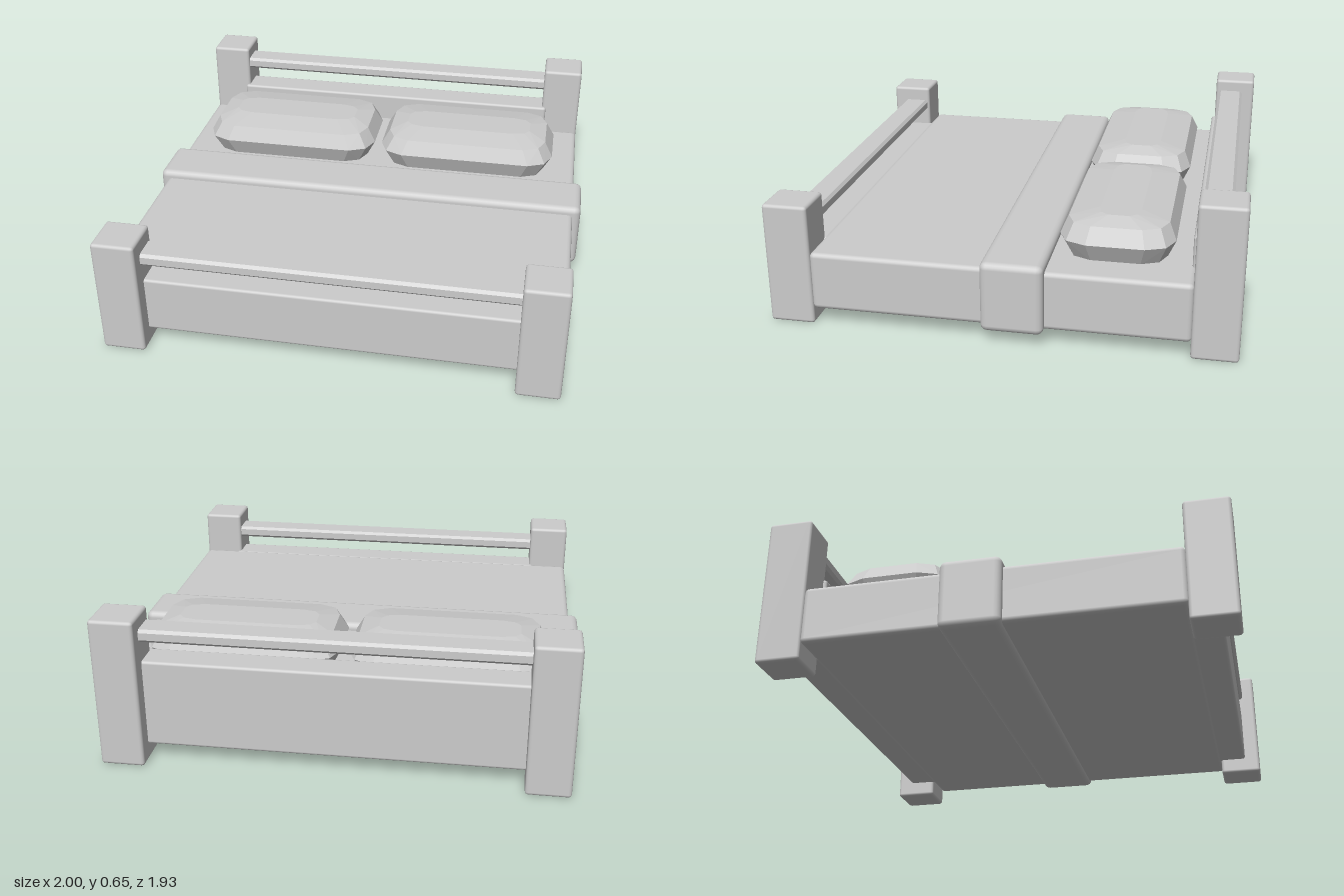
import * as THREE from 'three';
import { RoundedBoxGeometry } from 'three/addons/geometries/RoundedBoxGeometry.js';
import { ConvexGeometry } from 'three/addons/geometries/ConvexGeometry.js';

const material = new THREE.MeshStandardMaterial({ color: 0xcccccc });
const flatMaterial = new THREE.MeshStandardMaterial({ color: 0xcccccc, flatShading: true });

// Softly bevelled box given by its min and max corners
function block(name, min, max, radius) {
  const a = new THREE.Vector3(...min), b = new THREE.Vector3(...max);
  const size = b.clone().sub(a);
  const mesh = new THREE.Mesh(new RoundedBoxGeometry(size.x, size.y, size.z, 2, radius), material);
  mesh.name = name;
  mesh.position.copy(a.add(b).multiplyScalar(0.5));
  return mesh;
}

// Bar along x with a chamfered eight-sided section
function rail(name, y, z, height, depth, length) {
  const h = height / 2, d = depth / 2, c = 0.012;
  const section = new THREE.Shape([
    [d, h - c], [d - c, h], [c - d, h], [-d, h - c],
    [-d, c - h], [c - d, -h], [d - c, -h], [d, c - h],
  ].map(([u, v]) => new THREE.Vector2(u, v)));
  const geometry = new THREE.ExtrudeGeometry(section, { depth: length, bevelEnabled: false });
  geometry.translate(0, 0, -length / 2);
  geometry.rotateY(Math.PI / 2);
  const mesh = new THREE.Mesh(geometry, flatMaterial);
  mesh.name = name;
  mesh.position.set(0, y, z);
  return mesh;
}

// Faceted cushion: stacked twelve-sided rings, widest near mid height
function pillow(name, x, z) {
  const rings = [ // y, half width, half depth
    [0.315, 0.375, 0.2],
    [0.4, 0.418, 0.235],
    [0.468, 0.38, 0.205],
    [0.49, 0.3, 0.085],
  ];
  const corner = [[1, 0.5], [0.92, 0.85], [0.73, 1]];
  const points = [];
  for (const [y, w, d] of rings)
    for (const sx of [-1, 1])
      for (const sz of [-1, 1])
        for (const [u, v] of corner) points.push(new THREE.Vector3(sx * u * w, y, sz * v * d));
  const mesh = new THREE.Mesh(new ConvexGeometry(points), flatMaterial);
  mesh.name = name;
  mesh.position.set(x, 0, z);
  return mesh;
}

// Board with two posts, a panel and a rail; side is +1 at the foot, -1 at the head
function endBoard(name, side, postTop, railY, panelTop) {
  const board = new THREE.Group();
  board.name = name;
  const span = (near, far) => [Math.min(side * near, side * far), Math.max(side * near, side * far)];
  const [z0, z1] = span(0.775, 0.965);
  board.add(block('leftPost', [0.78, 0, z0], [0.965, postTop, z1], 0.014));
  board.add(block('rightPost', [-0.965, 0, z0], [-0.78, postTop, z1], 0.014));
  const [p0, p1] = span(0.76, 0.895);
  board.add(block('panel', [-0.8, 0.07, p0], [0.8, panelTop, p1], 0.012));
  board.add(rail('topRail', railY, side * 0.847, 0.055, 0.12, 1.62));
  return board;
}

export function createModel() {
  const bed = new THREE.Group();
  bed.name = 'bed';

  // Mattress and the folded blanket wrapped around it
  bed.add(block('mattress', [-0.965, 0.07, -0.778], [0.965, 0.32, 0.778], 0.02));
  bed.add(block('blanketFold', [-1, 0.055, -0.195], [1, 0.355, 0.062], 0.028));

  // Head and foot ends
  bed.add(endBoard('headboard', -1, 0.65, 0.567, 0.45));
  bed.add(endBoard('footboard', 1, 0.52, 0.425, 0.32));

  // Pair of pillows
  bed.add(pillow('leftPillow', 0.433, -0.455));
  bed.add(pillow('rightPillow', -0.438, -0.455));

  return bed;
}
